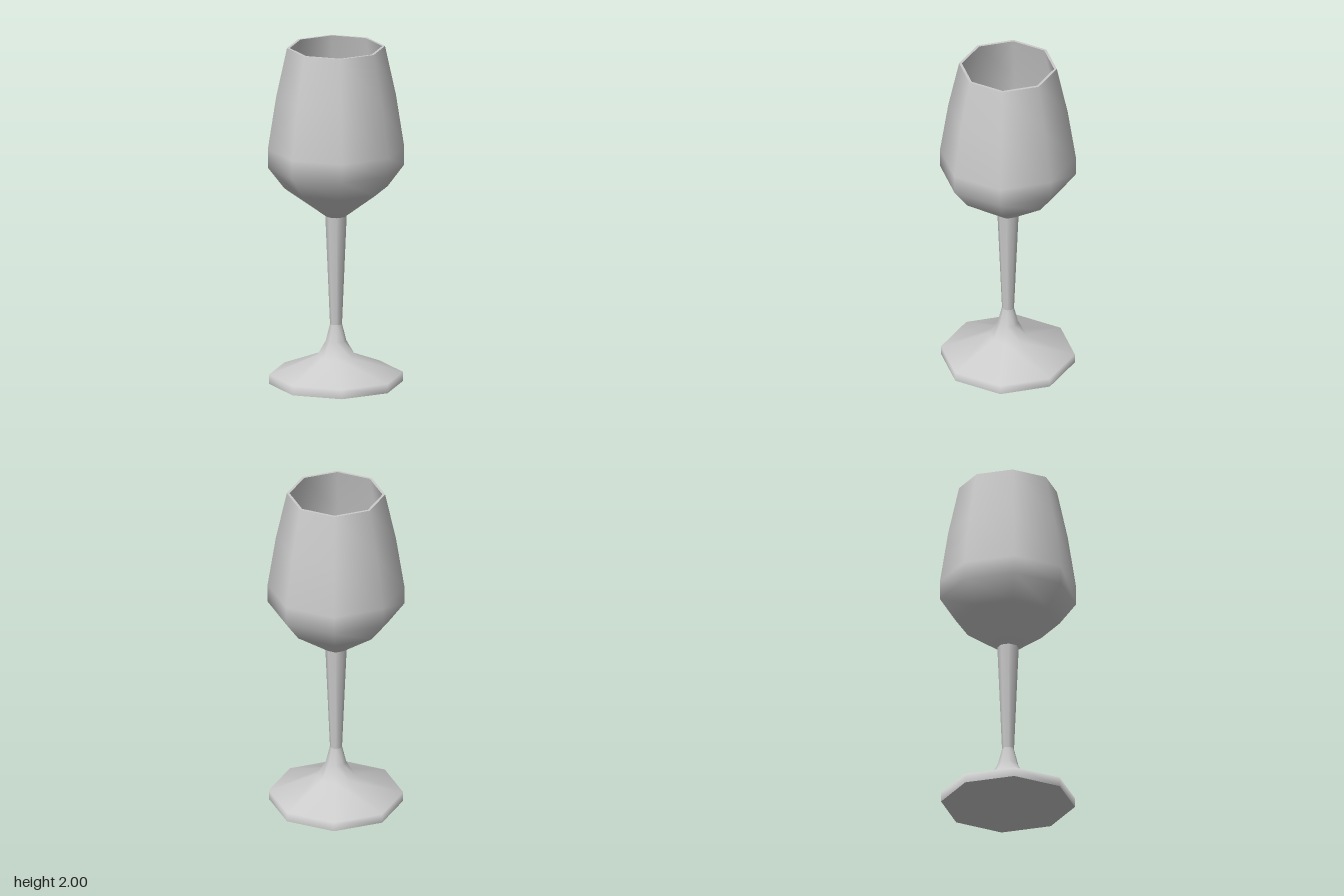
import * as THREE from 'three';

const SIDES = 8;
const material = new THREE.MeshStandardMaterial({ color: 0xcccccc });

// Eight-sided turned part from [radius, height] points; corners lie on the x and z axes
function turned(name, profile) {
  const points = profile.map(([r, y]) => new THREE.Vector2(r, y));
  const mesh = new THREE.Mesh(new THREE.LatheGeometry(points, SIDES), material);
  mesh.name = name;
  return mesh;
}

export function createModel() {
  const glass = new THREE.Group();
  glass.name = 'wineGlass';

  // Foot: flat underside, then rim and sloping top running up to the stem
  glass.add(turned('footUnderside', [[0, 0], [0.388, 0]]));
  glass.add(turned('foot', [
    [0.388, 0], [0.388, 0.055], [0.11, 0.165], [0.06, 0.25], [0.035, 0.35],
  ]));

  // Stem: widens gently towards the bowl
  glass.add(turned('stem', [[0.035, 0.35], [0.062, 0.995]]));

  // Bowl: outer wall, flat lip and hollow inside
  glass.add(turned('bowlOutside', [
    [0.062, 0.995], [0.30, 1.165], [0.395, 1.29], [0.395, 1.4], [0.347, 1.71], [0.284, 2],
  ]));
  glass.add(turned('lip', [[0.284, 2], [0.268, 2]]));
  glass.add(turned('bowlInside', [
    [0.268, 2], [0.331, 1.71], [0.379, 1.4], [0.379, 1.296], [0.29, 1.18], [0.055, 1.018], [0, 1.01],
  ]));

  return glass;
}
